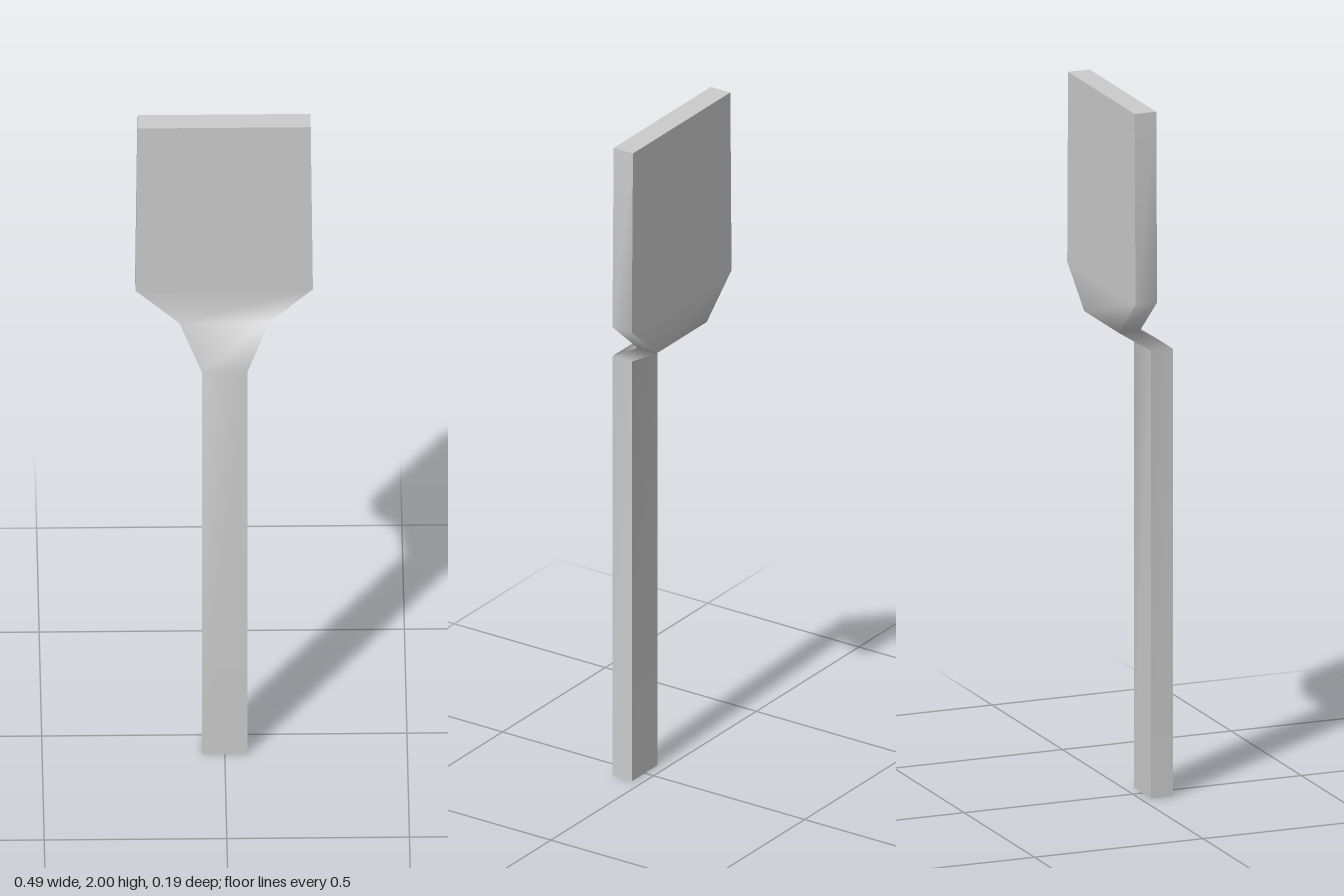
import * as THREE from 'three';

// Cross-sections from bottom to top: height, half width, centre depth
const SECTIONS = [
  [0, 0.062, 0.061],
  [1.27, 0.062, 0.061],
  [1.35, 0.122, -0.061],
  [1.46, 0.243, -0.061],
  [2, 0.237, -0.061],
];
const HALF_THICKNESS = 0.032;

// Four corners of a section, counter-clockwise seen from above
function corners([y, w, z]) {
  const t = HALF_THICKNESS;
  return [[w, y, z + t], [w, y, z - t], [-w, y, z - t], [-w, y, z + t]];
}

// Skin with shared vertices along each side, so bends are smooth but edges stay sharp
function loftBar(sections) {
  const rings = sections.map(corners);
  const positions = [];
  const index = [];

  for (let side = 0; side < 4; side++) {
    const base = positions.length / 3;
    for (const ring of rings) positions.push(...ring[side], ...ring[(side + 1) % 4]);
    for (let i = 0; i < rings.length - 1; i++) {
      const a = base + i * 2;
      index.push(a, a + 1, a + 3, a, a + 3, a + 2);
    }
  }

  // End caps: top faces up, bottom faces down
  for (const ring of [rings[rings.length - 1], [...rings[0]].reverse()]) {
    const base = positions.length / 3;
    positions.push(...ring.flat());
    index.push(base, base + 1, base + 2, base, base + 2, base + 3);
  }

  const geometry = new THREE.BufferGeometry();
  geometry.setAttribute('position', new THREE.Float32BufferAttribute(positions, 3));
  geometry.setIndex(index);
  geometry.computeVertexNormals();
  return geometry;
}

export function createModel() {
  const group = new THREE.Group();
  group.name = 'crankedPaddle';

  // Straight handle, cranked flaring neck and flat blade in one continuous bar
  const material = new THREE.MeshStandardMaterial({ color: 0xcccccc });
  const paddle = new THREE.Mesh(loftBar(SECTIONS), material);
  paddle.name = 'handleNeckAndBlade';
  group.add(paddle);

  return group;
}
